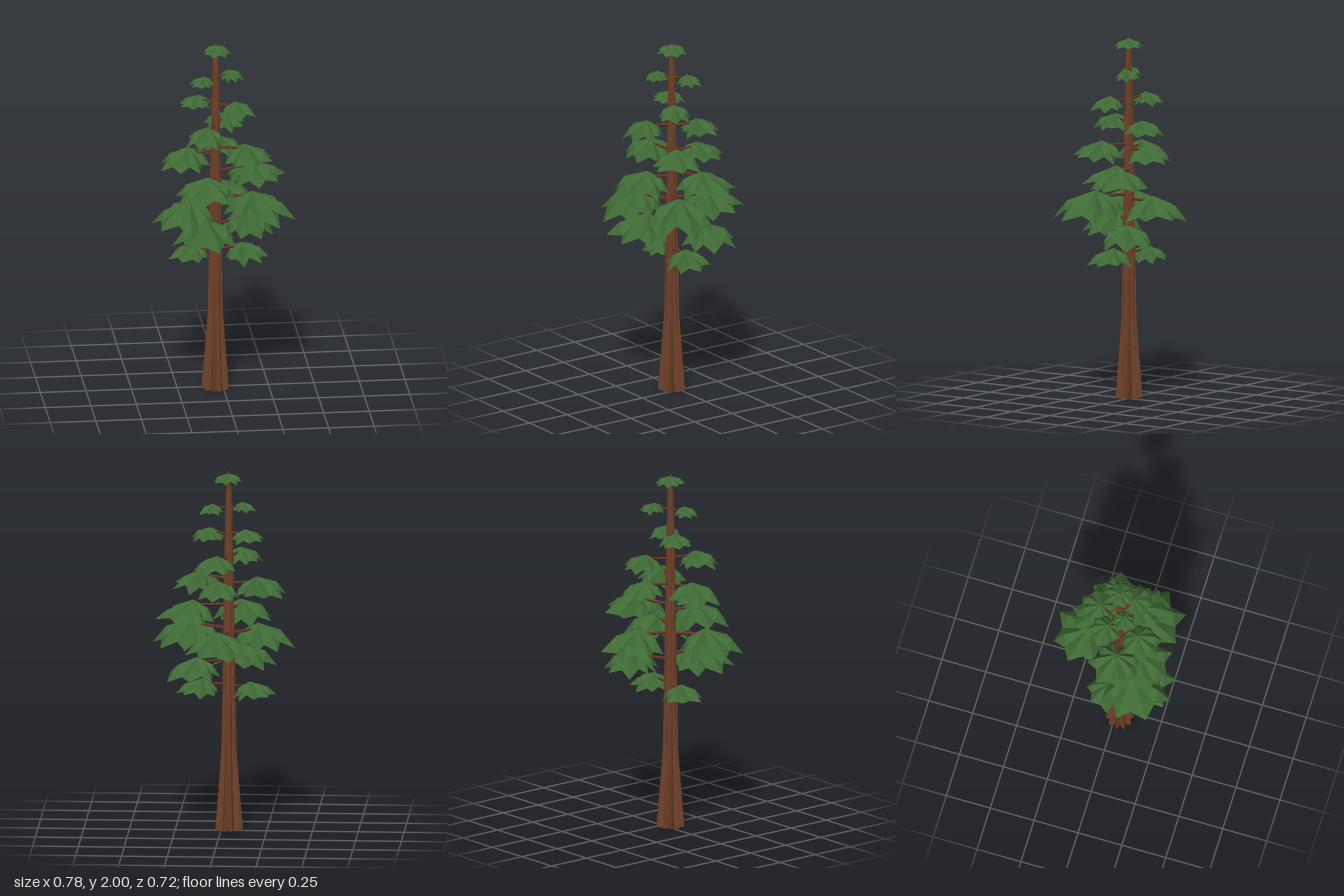
import * as THREE from 'three';

const TX = -0.041, TZ = 0.026; // trunk axis

const barkMat = new THREE.MeshStandardMaterial({ color: 0x6f4028, flatShading: true });
barkMat.name = 'bark';
const branchMat = new THREE.MeshStandardMaterial({ color: 0x653525, flatShading: true });
branchMat.name = 'branchWood';
const leafMat = new THREE.MeshStandardMaterial({ color: 0x3f6a35, flatShading: true, side: THREE.DoubleSide });
leafMat.name = 'foliageGreen';

// Small seeded generator
function seeded(seed) {
  let s = seed;
  return () => (s = (s * 16807) % 2147483647) / 2147483647;
}

function geometryFrom(positions) {
  const g = new THREE.BufferGeometry();
  g.setAttribute('position', new THREE.Float32BufferAttribute(positions, 3));
  g.computeVertexNormals();
  return g;
}

// Fluted, flared trunk: star-shaped rings, grooves fading with height
function makeTrunk() {
  const rand = seeded(91);
  const rings = [[0, 0.079, 0.34], [0.2, 0.062, 0.3], [0.44, 0.044, 0.2], [0.8, 0.037, 0.14],
    [1.4, 0.028, 0.12], [1.85, 0.018, 0.1], [1.95, 0.012, 0.05]];
  const n = 20;
  const wobble = Array.from({ length: n }, () => 0.93 + rand() * 0.07);
  const point = (k, i) => {
    const [y, r, groove] = rings[k];
    const j = i % n, a = (j / n) * Math.PI * 2;
    const d = r * wobble[j] * (j % 2 ? 1 - groove : 1);
    return [Math.cos(a) * d, y, Math.sin(a) * d];
  };
  const pos = [];
  const last = rings.length - 1;
  for (let i = 0; i < n; i++) {
    for (let k = 0; k < last; k++) {
      const a = point(k, i), b = point(k, i + 1), c = point(k + 1, i), d = point(k + 1, i + 1);
      pos.push(...a, ...c, ...b, ...b, ...c, ...d);
    }
    pos.push(...point(0, i), ...point(0, i + 1), 0, 0, 0);
    pos.push(...point(last, i + 1), ...point(last, i), 0, 2, 0);
  }
  const mesh = new THREE.Mesh(geometryFrom(pos), barkMat);
  mesh.name = 'trunk';
  mesh.position.set(TX, 0, TZ);
  return mesh;
}

// Drooping star-shaped umbrella, longer on the side away from the trunk;
// turn rotates its tips about the apex
function makeCluster(R, outward, stretch, turn, seed) {
  const rand = seeded(seed * 7919 + 13);
  for (let i = 0; i < 5; i++) rand();
  const tips = 8, step = (Math.PI * 2) / tips;
  const polar = (a, r, y) => {
    const d = r * R * (1 + stretch * Math.cos(a - outward));
    return [Math.cos(a) * d, y * R, Math.sin(a) * d];
  };
  const ridges = [], ends = [], notches = [];
  for (let i = 0; i < tips; i++) {
    const a = outward + turn + i * step + (rand() - 0.5) * 0.15;
    const len = 0.9 + rand() * 0.16;
    ridges.push(polar(a, 0.68 * len, -0.25 - rand() * 0.08));
    ends.push(polar(a, len, -0.6 - rand() * 0.25));
    notches.push(polar(a + step / 2, 0.7 + rand() * 0.1, -0.5 - rand() * 0.12));
  }
  const pos = [];
  for (let i = 0; i < tips; i++) {
    const prev = notches[(i + tips - 1) % tips];
    pos.push(0, 0, 0, ...notches[i], ...ridges[i]);
    pos.push(0, 0, 0, ...ridges[i], ...prev);
    pos.push(...ridges[i], ...notches[i], ...ends[i]);
    pos.push(...ridges[i], ...ends[i], ...prev);
  }
  const mesh = new THREE.Mesh(geometryFrom(pos), leafMat);
  mesh.name = 'foliageCluster';
  return mesh;
}

// Tapered branch between two points
function makeBranch(from, to, r) {
  const dir = to.clone().sub(from);
  const mesh = new THREE.Mesh(new THREE.CylinderGeometry(r * 0.6, r, dir.length(), 6), branchMat);
  mesh.name = 'branch';
  mesh.position.copy(from).addScaledVector(dir, 0.5);
  mesh.quaternion.setFromUnitVectors(new THREE.Vector3(0, 1, 0), dir.normalize());
  return mesh;
}

export function createModel() {
  const tree = new THREE.Group();
  tree.name = 'conifer';
  tree.add(makeTrunk());

  // Crown tip, flatter than the other clusters
  const crown = makeCluster(0.085, 0.2, 0.1, 0, 3);
  crown.name = 'crownTip';
  crown.position.set(TX, 1.98, TZ);
  crown.scale.y = 0.75;
  tree.add(crown);

  // Cluster apex x, y, z, radius and turn, from the top tier down
  const clusters = [
    [-0.11, 1.815, 0.065, 0.067, 0], [0.04, 1.82, -0.02, 0.07, 0],
    [-0.133, 1.68, -0.02, 0.09, 0], [0.058, 1.67, 0.08, 0.097, 0],
    [-0.1, 1.55, 0.146, 0.115, 0], [0.015, 1.545, -0.1, 0.112, 0],
    [-0.19, 1.405, 0.05, 0.145, -0.2], [0.11, 1.43, 0.1, 0.142, 0], [0, 1.405, -0.115, 0.125, 0],
    [-0.1, 1.26, 0.15, 0.165, -0.2], [0.15, 1.29, -0.04, 0.167, 0.05],
    [-0.195, 1.13, 0.14, 0.185, -0.07], [0.15, 1.16, 0.11, 0.192, -0.17], [0.01, 1.135, -0.165, 0.178, 0.12],
    [-0.1, 1.015, 0.145, 0.175, 0.12], [0.125, 0.98, -0.08, 0.155, 0],
    [-0.16, 0.83, 0, 0.115, 0.4], [0.1, 0.84, 0.03, 0.122, 0],
  ];
  clusters.forEach(([x, y, z, R, turn], i) => {
    const limb = new THREE.Group();
    limb.name = 'limb' + (i + 1);
    const leaf = makeCluster(R, Math.atan2(z - TZ, x - TX), 0.22, turn, i + 5);
    leaf.position.set(x, y, z);
    const drop = 0.012 + R * 0.1;
    limb.add(leaf, makeBranch(
      new THREE.Vector3(TX, y - drop - 0.008, TZ),
      new THREE.Vector3(x, y - drop, z),
      0.005 + R * 0.03));
    tree.add(limb);
  });
  return tree;
}
